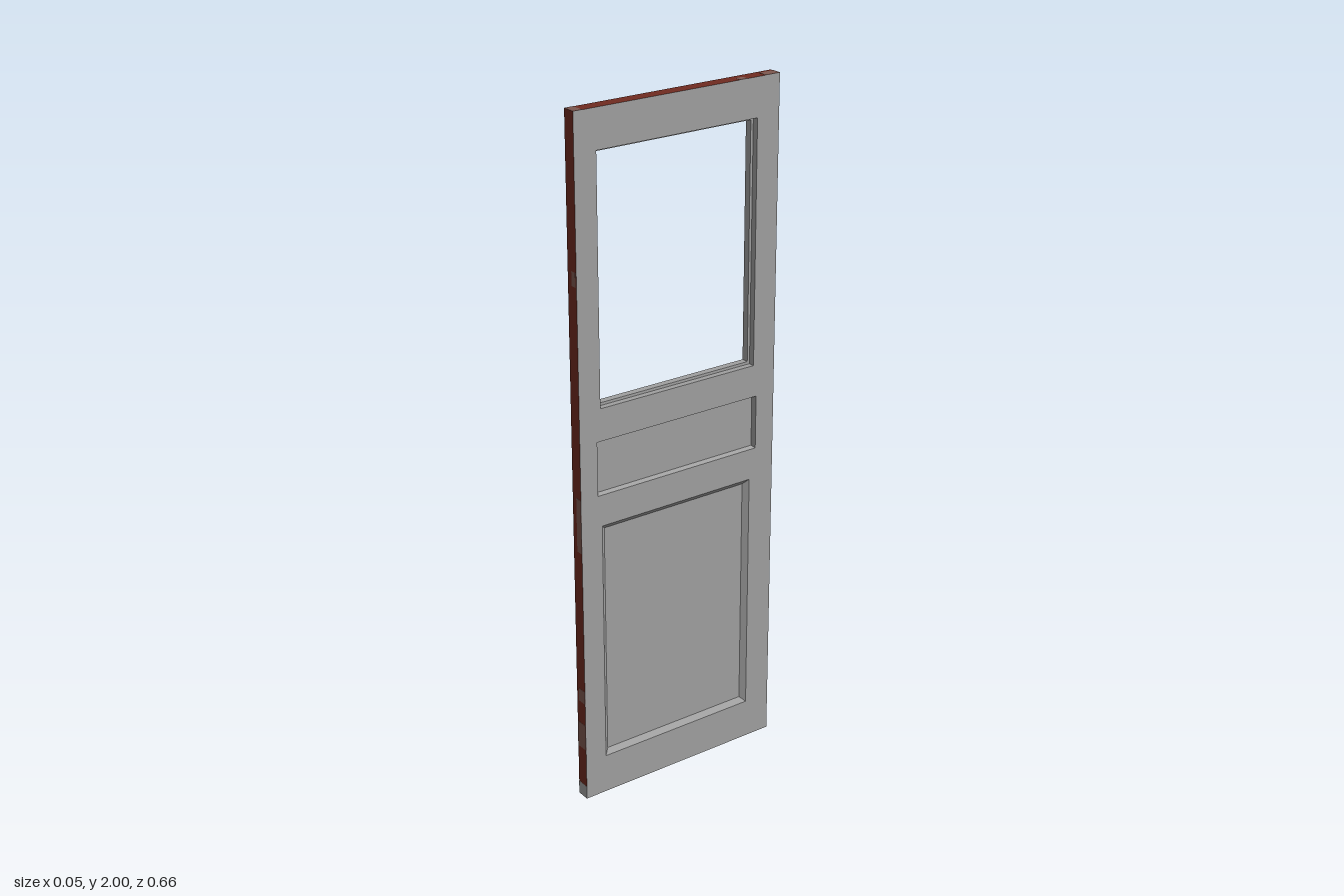
import * as THREE from 'three';

const flat = (color, name) => {
  const m = new THREE.MeshStandardMaterial({ color, side: THREE.DoubleSide });
  m.name = name;
  return m;
};

// Rectangles are [left, right, bottom, top] in the plane of the door
const corners = ([l, r, b, t]) => [[l, b], [r, b], [r, t], [l, t]];
const inset = ([l, r, b, t], d) => [l + d, r - d, b + d, t - d];

// Four strips joining rectangle a at depth za to rectangle b at depth zb
function ringGeometry(a, za, b, zb) {
  const A = corners(a), B = corners(b), pos = [];
  for (let i = 0; i < 4; i++) {
    const j = (i + 1) % 4;
    const p = [...A[i], za], q = [...A[j], za], r = [...B[j], zb], s = [...B[i], zb];
    pos.push(...p, ...q, ...r, ...p, ...r, ...s);
  }
  const g = new THREE.BufferGeometry();
  g.setAttribute('position', new THREE.Float32BufferAttribute(pos, 3));
  g.computeVertexNormals();
  return g;
}

// Flat face with rectangular openings, turned over for the back
function faceGeometry(rect, z, holes = [], back = false) {
  const path = (C, r) => new C(corners(r).map(([x, y]) => new THREE.Vector2(x, y)));
  const flip = ([l, r, b, t]) => (back ? [-r, -l, b, t] : [l, r, b, t]);
  const shape = path(THREE.Shape, flip(rect));
  holes.forEach((h) => shape.holes.push(path(THREE.Path, flip(h))));
  const g = new THREE.ShapeGeometry(shape);
  if (back) g.rotateY(Math.PI);
  return g.translate(0, 0, z);
}

export function createModel() {
  const grey = flat(0xa0a0a0, 'grey paint');
  const red = flat(0x702b20, 'dark red paint');
  const panelRed = flat(0xa24a35, 'light red paint');
  const worn = flat(0x7d5850, 'worn edge paint');
  const steel = flat(0x99a1a5, 'hinge steel');

  const root = new THREE.Group();
  root.name = 'door';
  const door = new THREE.Group();
  door.name = 'doorLeaf';
  door.rotation.y = Math.PI / 2; // the grey side faces +x
  root.add(door);
  const add = (name, geometry, material) => {
    const m = new THREE.Mesh(geometry, material);
    m.name = name;
    door.add(m);
    return m;
  };

  const F = 0.022, B = -0.017;
  const leaf = [-0.327, 0.322, 0, 2];
  const windowOuter = [-0.26, 0.25, 1.19, 1.89];
  const windowInner = inset(windowOuter, 0.008);
  const panels = [
    { name: 'middlePanel', rect: [-0.272, 0.261, 0.938, 1.096], slope: 0.005 },
    { name: 'lowerPanel', rect: [-0.26, 0.241, 0.118, 0.846], slope: 0.015 },
  ];
  const rects = panels.map((p) => p.rect);

  // Frame
  add('greyFrame', faceGeometry(leaf, F, [windowOuter, ...rects]), grey);
  add('redFrame', faceGeometry(leaf, B, [windowInner, ...rects], true), red);
  add('outerEdge', ringGeometry(leaf, B, leaf, F), red);

  // Stepped window surround
  add('windowRebate', ringGeometry(windowOuter, 0.004, windowOuter, F), grey);
  add('windowLedge', ringGeometry(windowInner, 0.004, windowOuter, 0.004), grey);
  add('windowJamb', ringGeometry(windowInner, B, windowInner, 0.004), grey);

  // Recessed panels with sloped borders on both sides
  for (const { name, rect, slope } of panels) {
    const field = inset(rect, slope);
    add(name + 'GreyBorder', ringGeometry(field, 0.009, rect, F), grey);
    add(name + 'GreyField', faceGeometry(field, 0.009), grey);
    add(name + 'RedBorder', ringGeometry(rect, B, field, -0.007), red);
    add(name + 'RedField', faceGeometry(field, -0.007, [], true), panelRed);
  }

  // Hinges
  for (const y of [0.287, 1.083, 1.81]) {
    const hinge = add('hinge', new THREE.BoxGeometry(0.009, 0.124, 0.031), steel);
    hinge.position.set(0.3265, y, -0.0075);
  }

  // Worn paint on the free edge and the top
  for (const [y0, y1, z0, z1] of [[0.16, 0.24, B, F], [0.31, 0.35, -0.008, F], [0.78, 0.94, 0, F], [1.54, 1.58, 0, 0.018]]) {
    const patch = add('wornEdge', new THREE.BoxGeometry(0.001, y1 - y0, z1 - z0), worn);
    patch.position.set(-0.327, (y0 + y1) / 2, (z0 + z1) / 2);
  }
  for (const [u0, u1, z0, z1] of [[0.275, 0.322, -0.006, F], [0.19, 0.215, 0.002, F], [-0.327, -0.3, B, F]]) {
    const patch = add('wornTop', new THREE.BoxGeometry(u1 - u0, 0.001, z1 - z0), worn);
    patch.position.set((u0 + u1) / 2, 2, (z0 + z1) / 2);
  }
  const foot = add('bareFoot', new THREE.BoxGeometry(0.001, 0.04, F - B), grey);
  foot.position.set(-0.327, 0.02, (F + B) / 2);

  return root;
}
